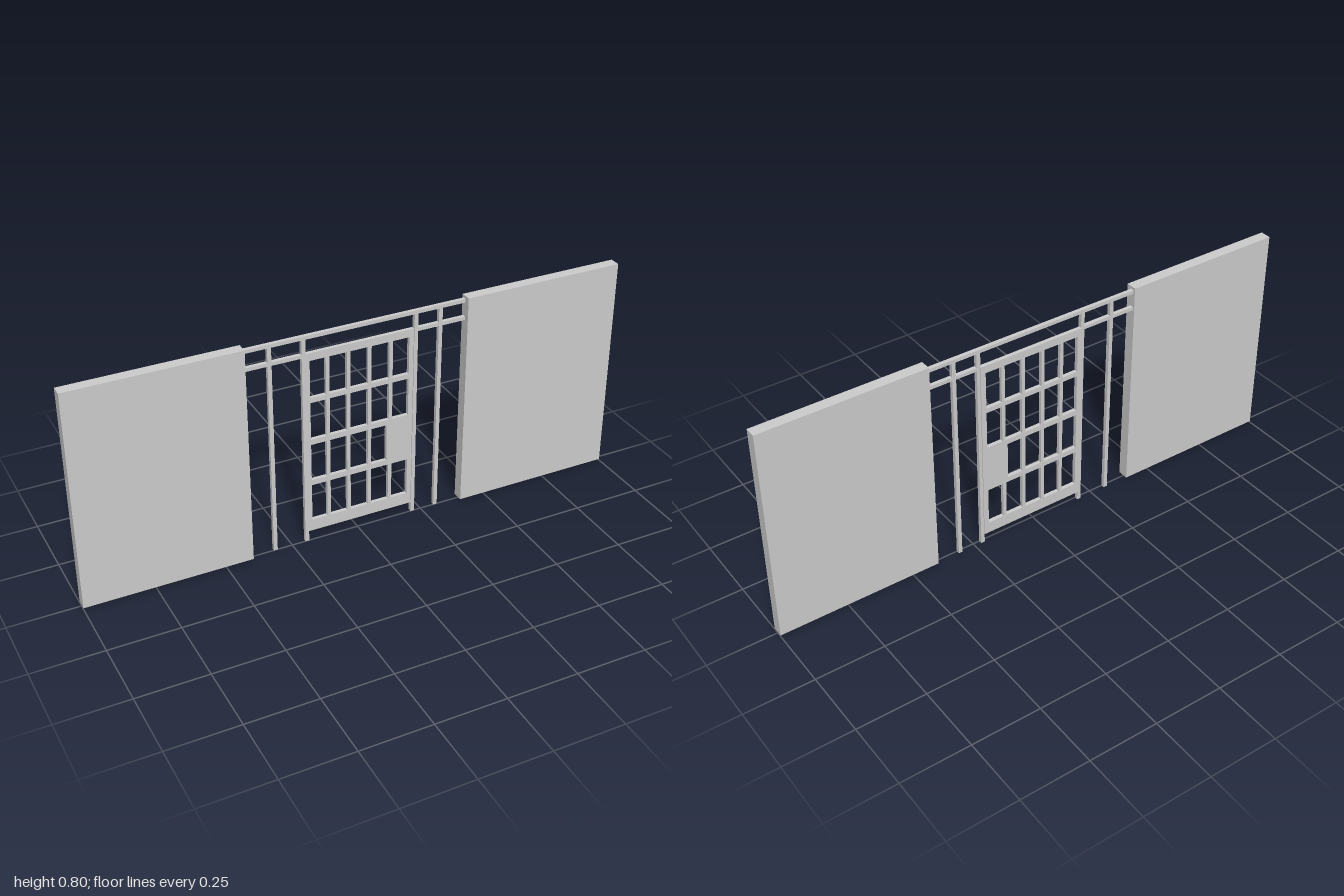
import * as THREE from 'three';

const material = new THREE.MeshStandardMaterial({ color: 0xcccccc, flatShading: true });

export function createModel() {
  const model = new THREE.Group();
  model.name = 'gateBetweenWalls';

  // Box given by its low and high limits on each axis
  function box(name, [x0, x1], [y0, y1], [z0, z1], parent = model) {
    const mesh = new THREE.Mesh(new THREE.BoxGeometry(x1 - x0, y1 - y0, z1 - z0), material);
    mesh.position.set((x0 + x1) / 2, (y0 + y1) / 2, (z0 + z1) / 2);
    mesh.name = name;
    parent.add(mesh);
  }

  // Walls on both sides
  box('rightWall', [-1, -0.402], [0.004, 0.804], [-0.02, 0.02]);
  box('leftWall', [0.402, 1], [0.004, 0.804], [-0.02, 0.02]);

  // Square tube frame: posts, full top rail and the two short lower rails
  const tubeZ = [-0.013, 0.001];
  for (const x of [-0.312, -0.193, 0.217, 0.309]) {
    box('post', [x - 0.007, x + 0.007], [0, 0.781], tubeZ);
  }
  box('topRail', [-0.402, 0.402], [0.781, 0.794], tubeZ);
  box('rightLowerRail', [-0.402, -0.2], [0.716, 0.729], tubeZ);
  box('leftLowerRail', [0.224, 0.402], [0.716, 0.729], tubeZ);

  // Gate leaf with four rows of openings; the third row down stops at the lock plate
  const gate = new THREE.Group();
  gate.name = 'gate';
  model.add(gate);
  const gateZ = [-0.016, -0.002];
  const rows = [
    { y: [0.08, 0.221], end: 0.193 },
    { y: [0.241, 0.381], end: 0.112 },
    { y: [0.401, 0.542], end: 0.193 },
    { y: [0.56, 0.699], end: 0.193 },
  ];
  const rectangle = (Type, x0, x1, y0, y1) => new Type([
    new THREE.Vector2(x0, y0), new THREE.Vector2(x1, y0),
    new THREE.Vector2(x1, y1), new THREE.Vector2(x0, y1),
  ]);
  const leaf = rectangle(THREE.Shape, -0.188, 0.212, 0.036, 0.727);
  for (const { y, end } of rows) {
    leaf.holes.push(rectangle(THREE.Path, -0.171, end, y[0], y[1]));
  }
  const frame = new THREE.Mesh(
    new THREE.ExtrudeGeometry(leaf, { depth: gateZ[1] - gateZ[0], bevelEnabled: false }), material);
  frame.position.z = gateZ[0];
  frame.name = 'gateFrame';
  gate.add(frame);

  // Upright bars in every opening
  for (const { y, end } of rows) {
    for (const x of [-0.107, -0.031, 0.047, 0.126]) {
      if (x < end) box('gateBar', [x - 0.0065, x + 0.0065], y, [-0.0155, -0.0025], gate);
    }
  }

  return model;
}
